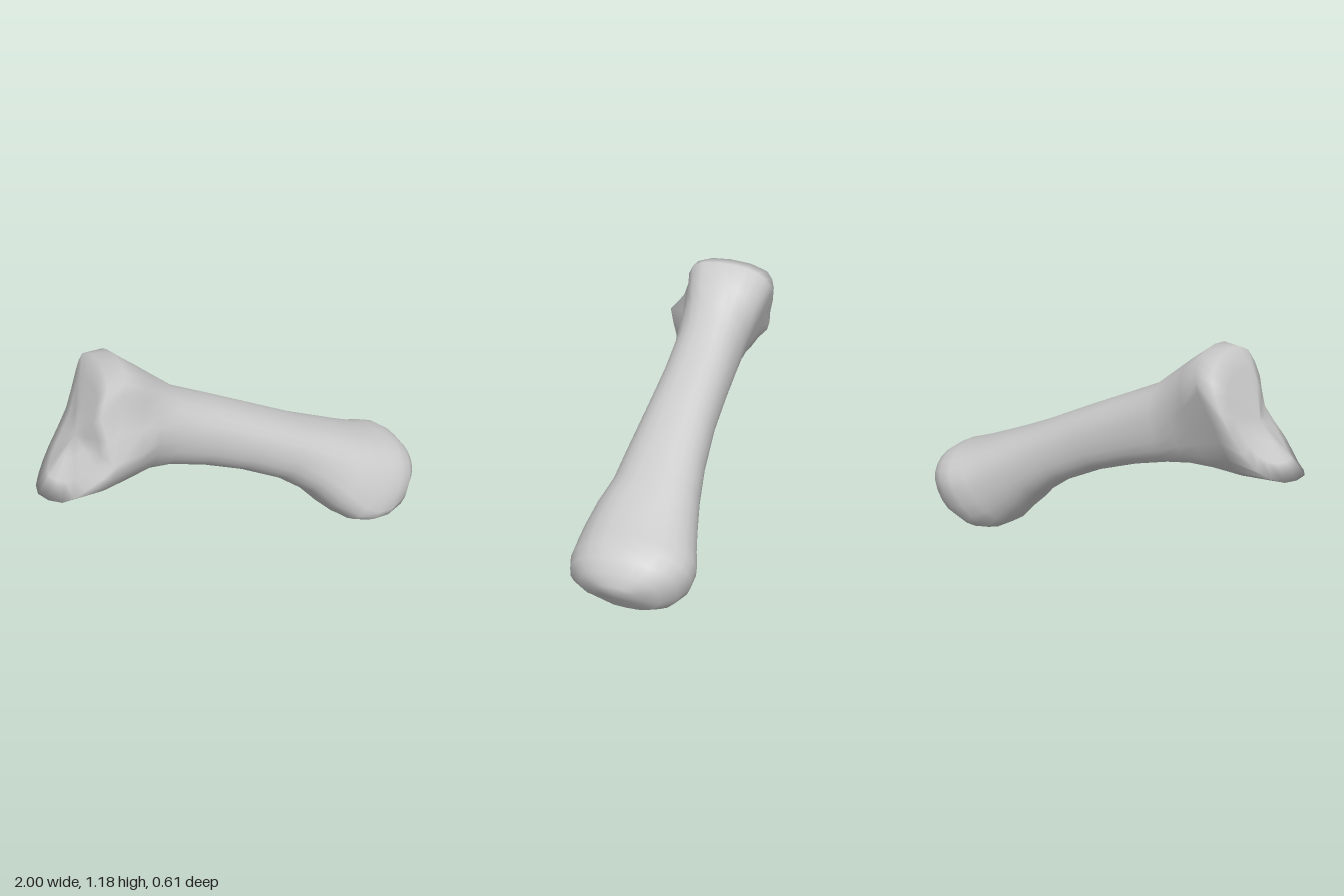
import * as THREE from 'three';
import { mergeVertices } from 'three/addons/utils/BufferGeometryUtils.js';

const SIDES = 24;
const ROUNDNESS = 2.3; // 2 is an ellipse, more is boxier
const { smoothstep } = THREE.MathUtils;

// Rim of the upper joint face, from its top towards +z and round
const RIM = [
  [-0.64, 1.17, -0.05], [-0.66, 1.13, 0.13], [-0.71, 1.0, 0.165], [-0.7, 0.82, 0.27],
  [-0.82, 0.7, 0.24], [-0.92, 0.615, 0.17], [-1, 0.61, 0.05], [-0.96, 0.615, -0.09],
  [-0.87, 0.69, -0.2], [-0.76, 0.85, -0.24], [-0.69, 1.02, -0.27], [-0.66, 1.12, -0.24],
];

// Cross-sections along the bone: top x, y, bottom x, y, front z, back z,
// depth (0 top, 1 bottom) of the widest point in front and at the back, pinch
const SECTIONS = [
  [-0.56, 1.178, -0.76, 0.595, 0.29, -0.28, 0.6, 0.25, 0.32],
  [-0.46, 1.1, -0.61, 0.603, 0.23, -0.23, 0.58, 0.35, 0.25],
  [-0.39, 1.04, -0.49, 0.603, 0.175, -0.2, 0.52, 0.43, 0.1],
  [-0.29, 0.955, -0.37, 0.585, 0.145, -0.185, 0.5, 0.5, 0],
  [-0.08, 0.855, -0.2, 0.54, 0.145, -0.185, 0.5, 0.5, 0],
  [0.15, 0.745, 0, 0.467, 0.16, -0.185, 0.5, 0.5, 0],
  [0.36, 0.64, 0.2, 0.367, 0.18, -0.2, 0.5, 0.5, 0],
  [0.52, 0.57, 0.34, 0.262, 0.205, -0.225, 0.55, 0.48, 0.02],
  [0.66, 0.51, 0.43, 0.165, 0.26, -0.255, 0.6, 0.45, 0.05],
  [0.77, 0.465, 0.52, 0.065, 0.295, -0.285, 0.64, 0.43, 0.07],
  [0.83, 0.445, 0.61, 0.015, 0.302, -0.31, 0.64, 0.42, 0.07],
  [0.89, 0.425, 0.7, 0, 0.29, -0.305, 0.62, 0.42, 0.05],
  [0.94, 0.39, 0.81, 0.03, 0.25, -0.265, 0.58, 0.44, 0.02],
  [0.98, 0.34, 0.89, 0.085, 0.175, -0.2, 0.53, 0.47, 0],
  [1, 0.28, 0.96, 0.185, 0.07, -0.1, 0.5, 0.5, 0],
];

function sectionRing([tx, ty, bx, by, front, back, deepF, deepB, pinch]) {
  const mid = (front + back) / 2 - 0.02;
  return Array.from({ length: SIDES }, (_, i) => {
    const a = (i / SIDES) * Math.PI * 2;
    const c = Math.cos(a), s = Math.sin(a);
    const p = Math.abs(c) ** (2 / ROUNDNESS);
    let w = Math.abs(s) ** (2 / ROUNDNESS);
    // Waist above the front knob and, half as deep, below the back one
    if (s * c > 0) w *= 1 - (s > 0 ? pinch : pinch / 2) * Math.sin(Math.PI * p);
    const deep = s >= 0 ? deepF : deepB;
    const t = c > 0 ? deep * (1 - p) : deep + (1 - deep) * p;
    const z = mid + w * ((s >= 0 ? front : back) - mid);
    // The front lobe of the lower joint sits a step higher than the middle
    const y = ty + (by - ty) * t;
    const step = 0.045 * smoothstep(z, 0.04, 0.13) * (1 - smoothstep(y, 0.02, 0.16));
    return new THREE.Vector3(tx + (bx - tx) * t, y + step, z);
  });
}

// Joins rings of points into one smooth skin
function loft(rings) {
  const index = [];
  for (let r = 0; r < rings.length - 1; r++) {
    for (let i = 0; i < SIDES; i++) {
      const a = r * SIDES + i, b = r * SIDES + ((i + 1) % SIDES);
      index.push(a, b, a + SIDES, b, b + SIDES, a + SIDES);
    }
  }
  const geometry = new THREE.BufferGeometry().setFromPoints(rings.flat());
  geometry.setIndex(index);
  const merged = mergeVertices(geometry, 1e-4);
  merged.computeVertexNormals();
  return merged;
}

export function createModel() {
  const group = new THREE.Group();
  group.name = 'bone';

  // Shallow joint face: the rim shrinks towards its centre
  const curve = new THREE.CatmullRomCurve3(RIM.map((p) => new THREE.Vector3(...p)), true);
  const rim = Array.from({ length: SIDES }, (_, i) => curve.getPoint(i / SIDES));
  const centre = new THREE.Vector3(-0.79, 0.85, 0);
  const face = [1, 0.65, 0.3].map((k) => rim.map((p) => p.clone().lerp(centre, k)));

  // Shaft and rounded lower joint, closed at a point
  const body = SECTIONS.map(sectionRing);
  const end = Array.from({ length: SIDES }, () => new THREE.Vector3(0.99, 0.23, -0.015));

  const mesh = new THREE.Mesh(
    loft([...face, rim, ...body, end]),
    new THREE.MeshStandardMaterial({ color: 0xcccccc, roughness: 0.8 }),
  );
  mesh.name = 'boneShaftAndJoints';
  group.add(mesh);
  return group;
}
